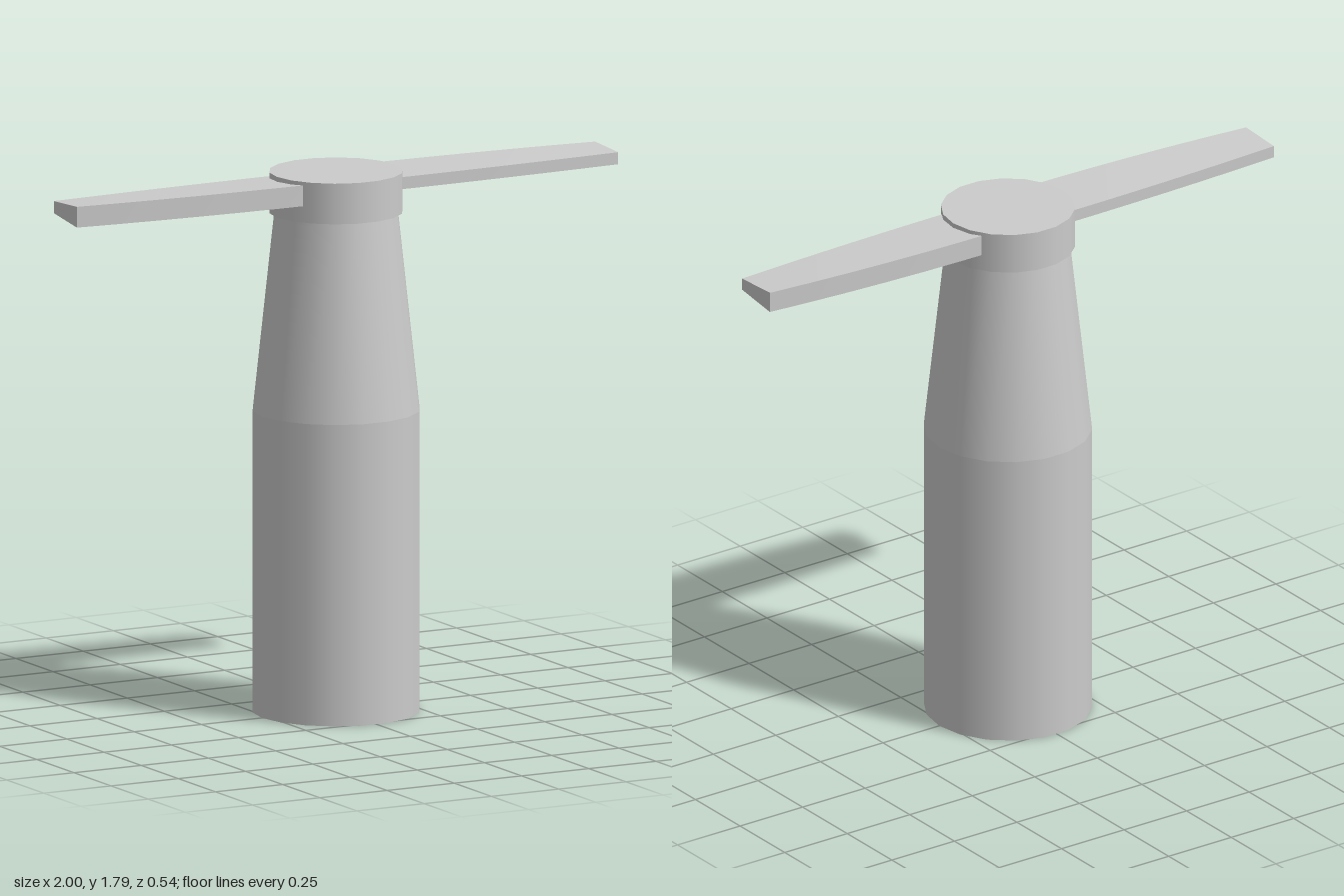
import * as THREE from 'three';

const SIDES = 18;

export function createModel() {
  const model = new THREE.Group();
  const material = new THREE.MeshStandardMaterial({ color: 0xcccccc });

  function add(name, geometry) {
    const mesh = new THREE.Mesh(geometry, material);
    mesh.name = name;
    model.add(mesh);
    return mesh;
  }

  // Round section between two heights, with a corner on the x axis
  function drum(name, rTop, rBottom, y0, y1, open = false) {
    const g = new THREE.CylinderGeometry(rTop, rBottom, y1 - y0, SIDES, 1, open, Math.PI / 2);
    add(name, g.translate(0, (y0 + y1) / 2, 0));
  }

  // Handle: straight grip, tapered neck
  const grip = new THREE.CylinderGeometry(0.275, 0.275, 1, SIDES, 1, true, Math.PI / 2);
  add('grip', grip.translate(0, 0.5, 0));
  add('gripBase', new THREE.CircleGeometry(0.275, SIDES).rotateX(Math.PI / 2));
  drum('neck', 0.204, 0.275, 1, 1.655, true);

  // Rotor hub, slightly wider than the neck
  drum('hub', 0.219, 0.219, 1.655, 1.79);

  // Blade: a box bent to a wedge section, thick at the back, with both edges curving in to the tip
  const blade = new THREE.BoxGeometry(1, 1, 1, 6, 1, 1);
  const p = blade.attributes.position;
  for (let i = 0; i < p.count; i++) {
    const t = p.getX(i) + 0.5;
    const thick = p.getZ(i) < 0;
    const upper = p.getY(i) > 0;
    const x = 0.12 + 0.88 * t;
    const y = upper ? (thick ? 1.778 : 1.77) : (thick ? 1.709 : 1.73);
    const z = thick ? -0.112 + 0.045 * t * t : 0.112 - 0.023 * t * t;
    p.setXYZ(i, x, y, z);
  }
  blade.computeVertexNormals();

  // Two blades, half a turn apart
  for (const [name, angle] of [['leftBlade', 0], ['rightBlade', Math.PI]]) {
    add(name, blade).rotation.y = angle;
  }

  return model;
}
